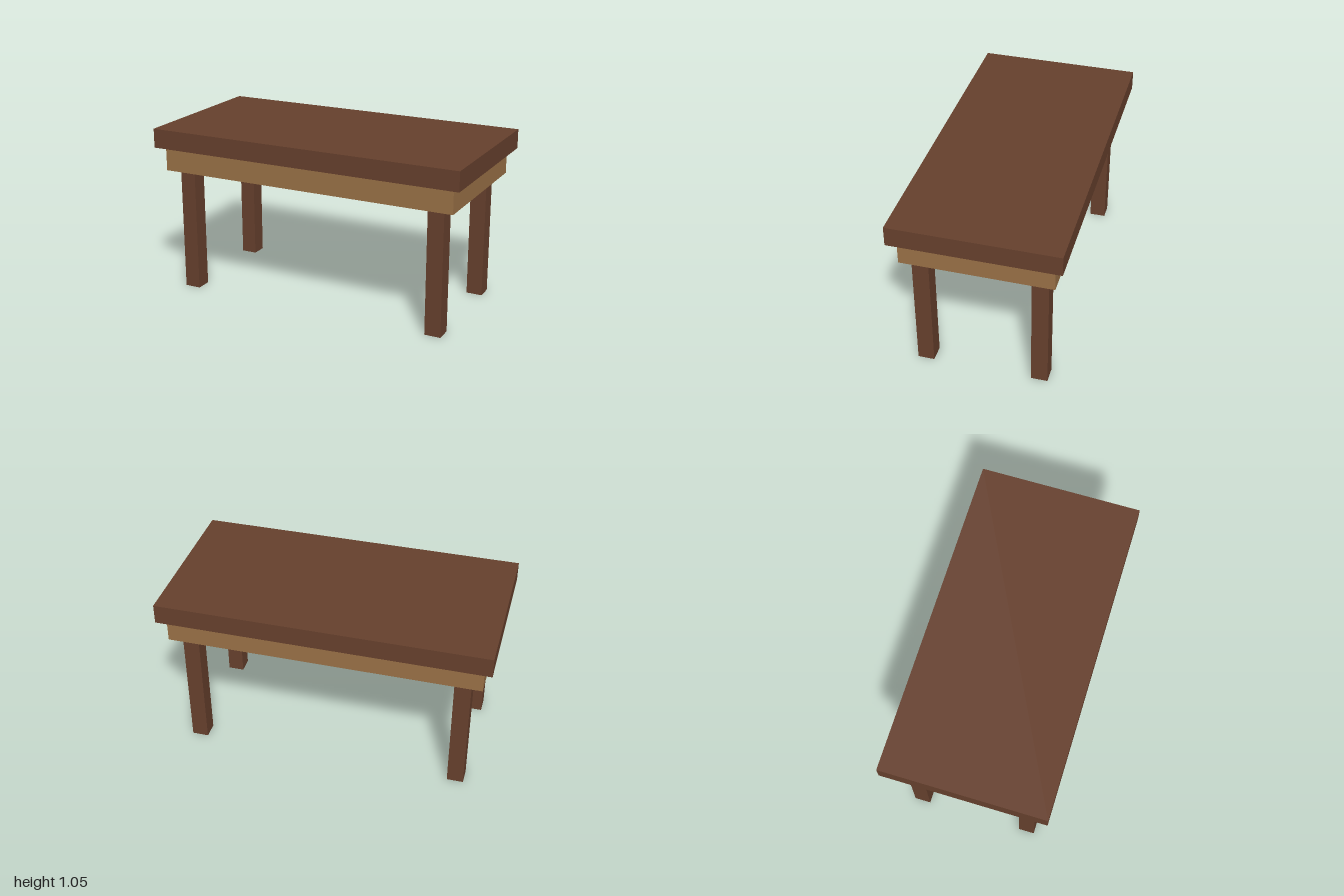
import * as THREE from 'three';

export function createModel() {
  const table = new THREE.Group();
  table.name = 'table';

  const darkWood = new THREE.MeshStandardMaterial({ color: 0x653f2c });
  darkWood.name = 'dark wood';
  const lightWood = new THREE.MeshStandardMaterial({ color: 0x976f45 });
  lightWood.name = 'light wood';

  // Box given by its size, its bottom height and its centre in plan
  function addBox(name, material, [w, h, d], bottom, x = 0, z = 0) {
    const mesh = new THREE.Mesh(new THREE.BoxGeometry(w, h, d), material);
    mesh.name = name;
    mesh.position.set(x, bottom + h / 2, z);
    table.add(mesh);
  }

  // Thick top, with a hairline shadow gap above the solid apron
  addBox('tabletop', darkWood, [2, 0.12, 1], 0.93);
  addBox('apron', lightWood, [1.9, 0.148, 0.9], 0.778);

  // Four square legs, set in from the corners
  for (const [side, sx] of [['Left', 1], ['Right', -1]]) {
    for (const [end, sz] of [['front', 1], ['back', -1]]) {
      addBox(`${end}${side}Leg`, darkWood, [0.1, 0.778, 0.1], 0, sx * 0.83, sz * 0.35);
    }
  }

  return table;
}
